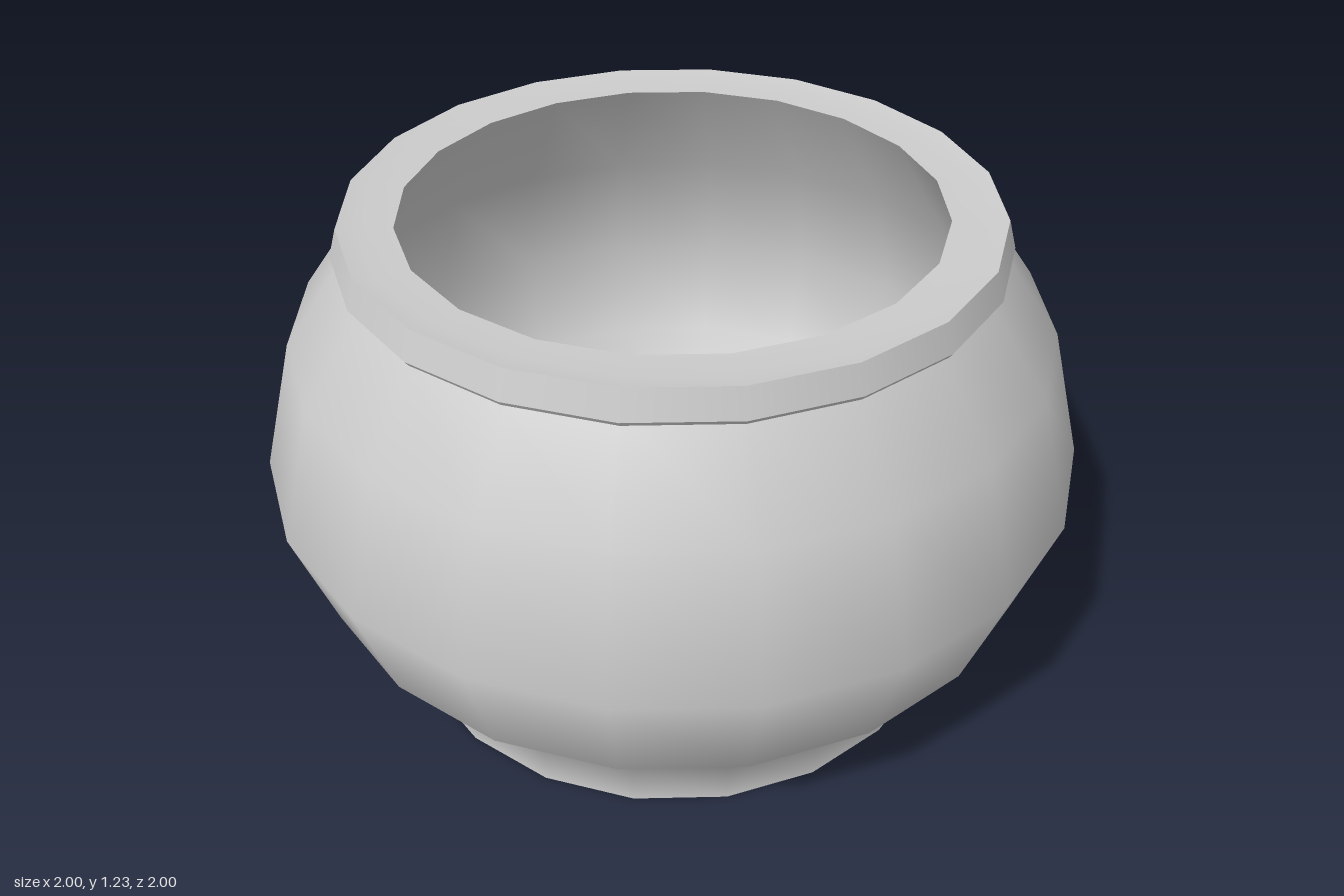
import * as THREE from 'three';

const SIDES = 20;

export function createModel() {
  const model = new THREE.Group();
  model.name = 'bowl';
  const material = new THREE.MeshStandardMaterial({ color: 0xcccccc });

  // Each band is smooth in itself; hard edges fall between bands.
  // Profiles run from the underside, up the outside, over the rim and down the inside.
  function band(name, profile) {
    const points = profile.map(([r, y]) => new THREE.Vector2(r, y));
    const mesh = new THREE.Mesh(new THREE.LatheGeometry(points, SIDES), material);
    mesh.name = name;
    model.add(mesh);
  }

  // Recessed underside and foot ring
  band('baseUnderside', [[0, 0.04], [0.635, 0.04]]);
  band('footInnerWall', [[0.635, 0.04], [0.635, 0]]);
  band('footRing', [[0.635, 0], [0.715, 0]]);

  // Rounded outer wall
  band('outerWall', [[0.715, 0], [0.715, 0.11], [0.91, 0.33], [1, 0.61], [0.91, 0.94], [0.76, 1.15]]);

  // Overhanging lip
  band('lipUnderside', [[0.76, 1.15], [0.775, 1.15]]);
  band('lipEdge', [[0.775, 1.15], [0.783, 1.162]]);
  band('lipSide', [[0.783, 1.162], [0.763, 1.23]]);
  band('lipTop', [[0.763, 1.23], [0.715, 1.222], [0.635, 1.22]]);

  // Hollow inside
  band('innerWall', [[0.635, 1.22], [0.82, 0.92], [0.9, 0.61], [0.82, 0.36], [0.64, 0.12]]);
  band('innerFloor', [[0.64, 0.12], [0, 0.12]]);

  return model;
}
